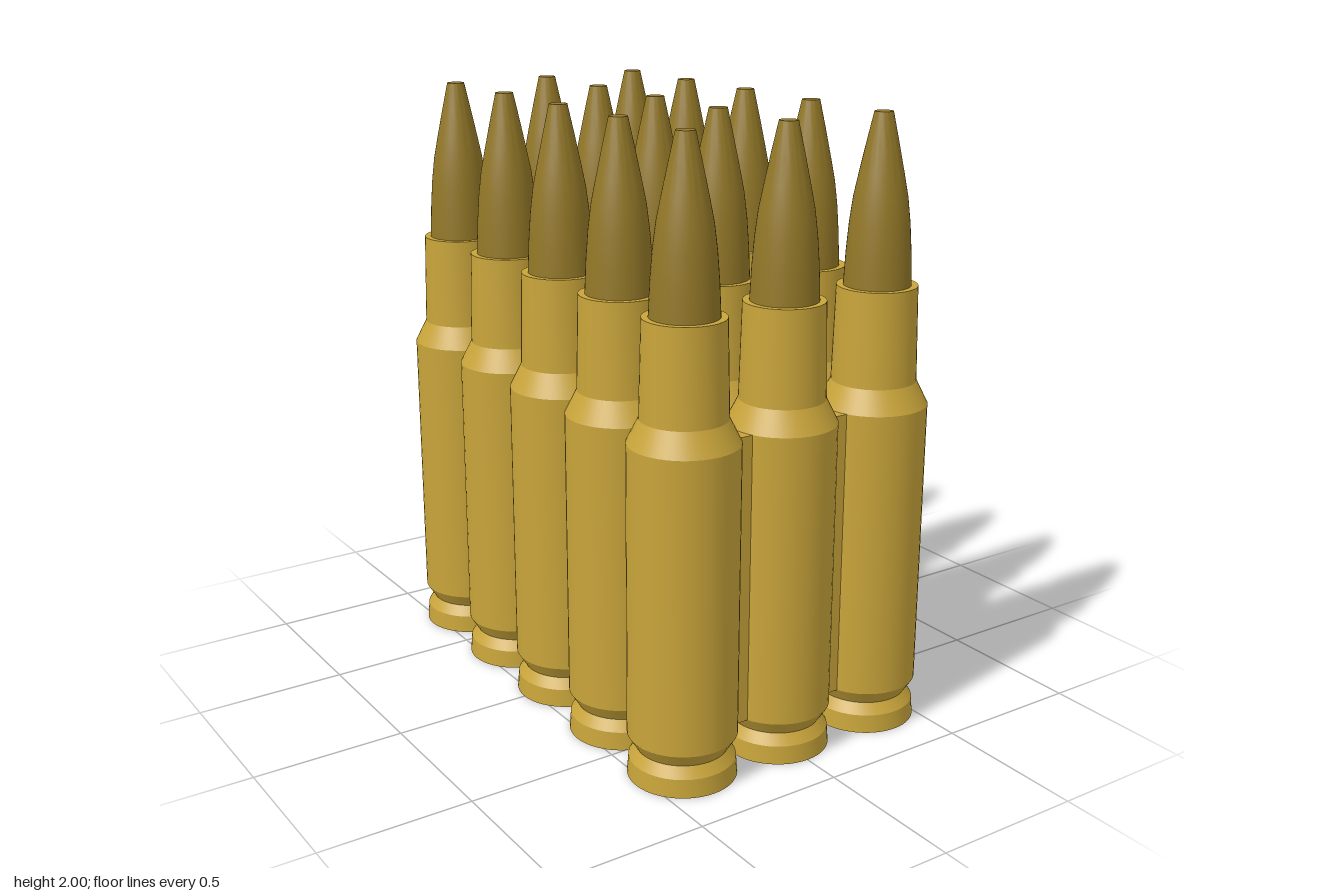
import * as THREE from 'three';
import { toCreasedNormals } from 'three/addons/utils/BufferGeometryUtils.js';

const COLUMNS = 3, ROWS = 5;
const STEP_X = 0.364, STEP_Z = 0.349;

// Turned part with crisp edges where the profile bends sharply
function turned(profile) {
  const points = profile.map(([r, y]) => new THREE.Vector2(r, y));
  return toCreasedNormals(new THREE.LatheGeometry(points, 48), 0.35);
}

export function createModel() {
  const brass = new THREE.MeshStandardMaterial({ color: 0xc8a43a });
  brass.name = 'brass';
  const bronze = new THREE.MeshStandardMaterial({ color: 0x937828 });
  bronze.name = 'darkBronze';

  // Rim, extractor groove, straight body, shoulder, neck and lip
  const caseGeometry = turned([
    [0, 0], [0.173, 0], [0.168, 0.06], [0.145, 0.095], [0.173, 0.14],
    [0.173, 1.085], [0.135, 1.16], [0.127, 1.465], [0.1, 1.465],
  ]);
  // Tapered tip with a small flat end
  const bulletGeometry = turned([
    [0.107, 1.44], [0.106, 1.465], [0.101, 1.57], [0.094, 1.66], [0.084, 1.74],
    [0.07, 1.81], [0.05, 1.905], [0.029, 2], [0, 2],
  ]);
  const linkGeometry = new THREE.BoxGeometry(0.1, 0.945, 0.13);

  const model = new THREE.Group();
  model.name = 'cartridgeBlock';
  const add = (parent, name, geometry, material) => {
    const mesh = new THREE.Mesh(geometry, material);
    mesh.name = name;
    parent.add(mesh);
    return mesh;
  };

  for (let row = 0; row < ROWS; row++) {
    const z = (row - (ROWS - 1) / 2) * STEP_Z;
    for (let col = 0; col < COLUMNS; col++) {
      const x = (col - (COLUMNS - 1) / 2) * STEP_X;
      const cartridge = new THREE.Group();
      cartridge.name = 'cartridge';
      cartridge.position.set(x, 0, z);
      add(cartridge, 'case', caseGeometry, brass);
      add(cartridge, 'bullet', bulletGeometry, bronze);
      model.add(cartridge);

      // Web joining this cartridge to the next one in the row
      if (col < COLUMNS - 1) {
        add(model, 'link', linkGeometry, brass).position.set(x + STEP_X / 2, 0.6125, z);
      }
    }
  }
  return model;
}
